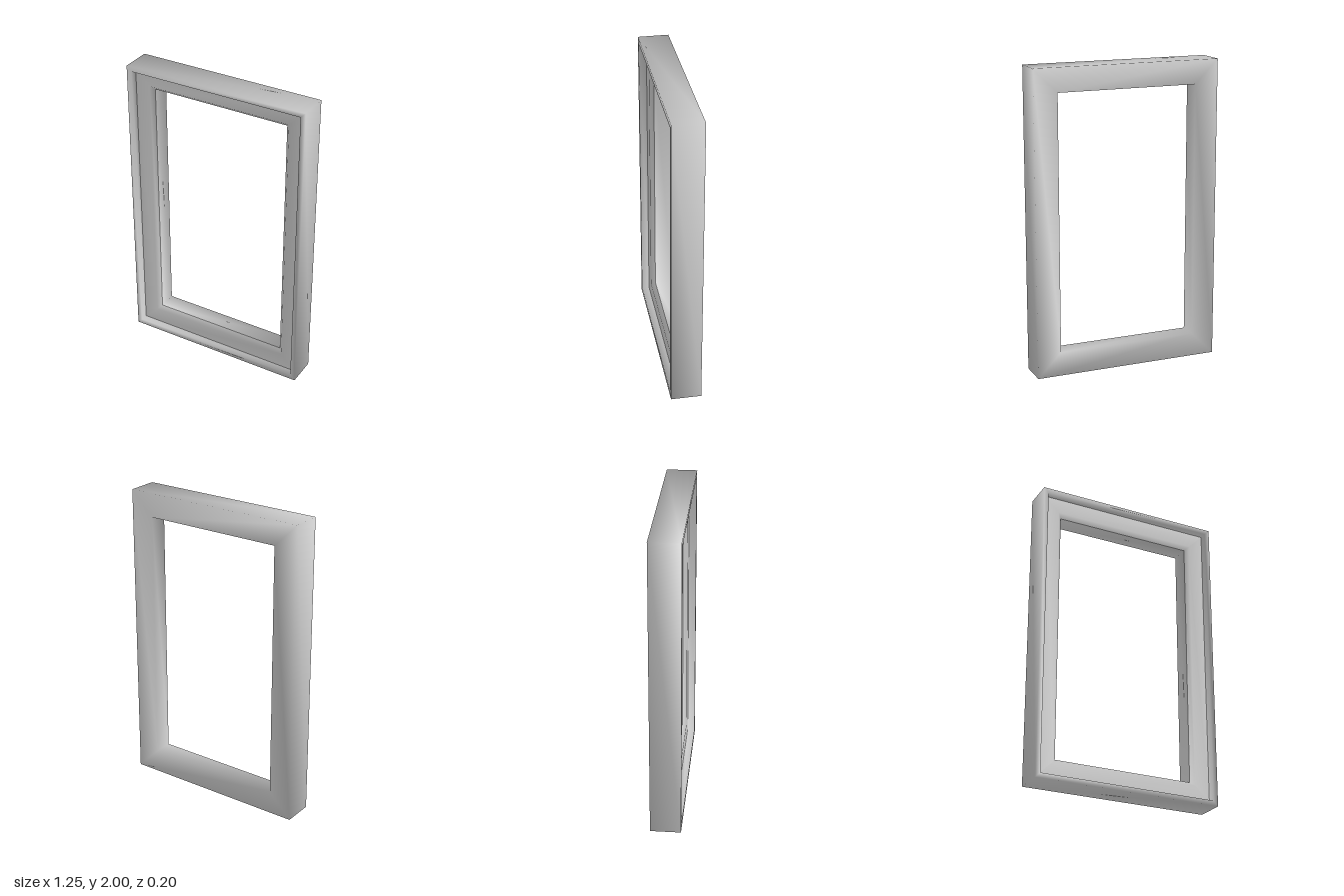
import * as THREE from 'three';

const WIDTH = 1.25, HEIGHT = 2;

// Cross-section of the moulding: [inset from the outer edge, z]
const rimProfile = [
  [0.157, 0.022],  // opening, front edge
  [0.157, -0.1],   // opening, back edge
  [0, -0.1],       // outer back edge
  [0, 0.1],        // outer front edge
  [0.033, 0.1],    // inner edge of the raised rim
  [0.033, 0.05],   // foot of the rim
];
const panelProfile = [
  [0.033, 0.05],   // flat recessed face
  [0.132, 0.05],
  [0.157, 0.022],  // chamfer into the opening
];

// Sweeps a profile around the rectangle with mitred corners
function sweepFrame(profile) {
  const positions = [], index = [];
  for (const [inset, z] of profile) {
    const x = WIDTH / 2 - inset, low = inset, high = HEIGHT - inset;
    positions.push(-x, low, z, x, low, z, x, high, z, -x, high, z);
  }
  for (let p = 0; p < profile.length - 1; p++) {
    for (let i = 0; i < 4; i++) {
      const j = (i + 1) % 4;
      const a = p * 4 + i, b = p * 4 + j, c = b + 4, d = a + 4;
      index.push(a, b, c, a, c, d);
    }
  }
  const geometry = new THREE.BufferGeometry();
  geometry.setAttribute('position', new THREE.Float32BufferAttribute(positions, 3));
  geometry.setIndex(index);
  geometry.computeVertexNormals();
  return geometry;
}

export function createModel() {
  const group = new THREE.Group();
  group.name = 'windowFrame';
  const material = new THREE.MeshStandardMaterial({ color: 0xcccccc });

  // Outer body with the raised rim, back and inner walls
  const body = new THREE.Mesh(sweepFrame(rimProfile), material);
  body.name = 'frameBody';

  // Recessed front face with its chamfered inner edge
  const face = new THREE.Mesh(sweepFrame(panelProfile), material);
  face.name = 'recessedFace';

  group.add(body, face);
  return group;
}
